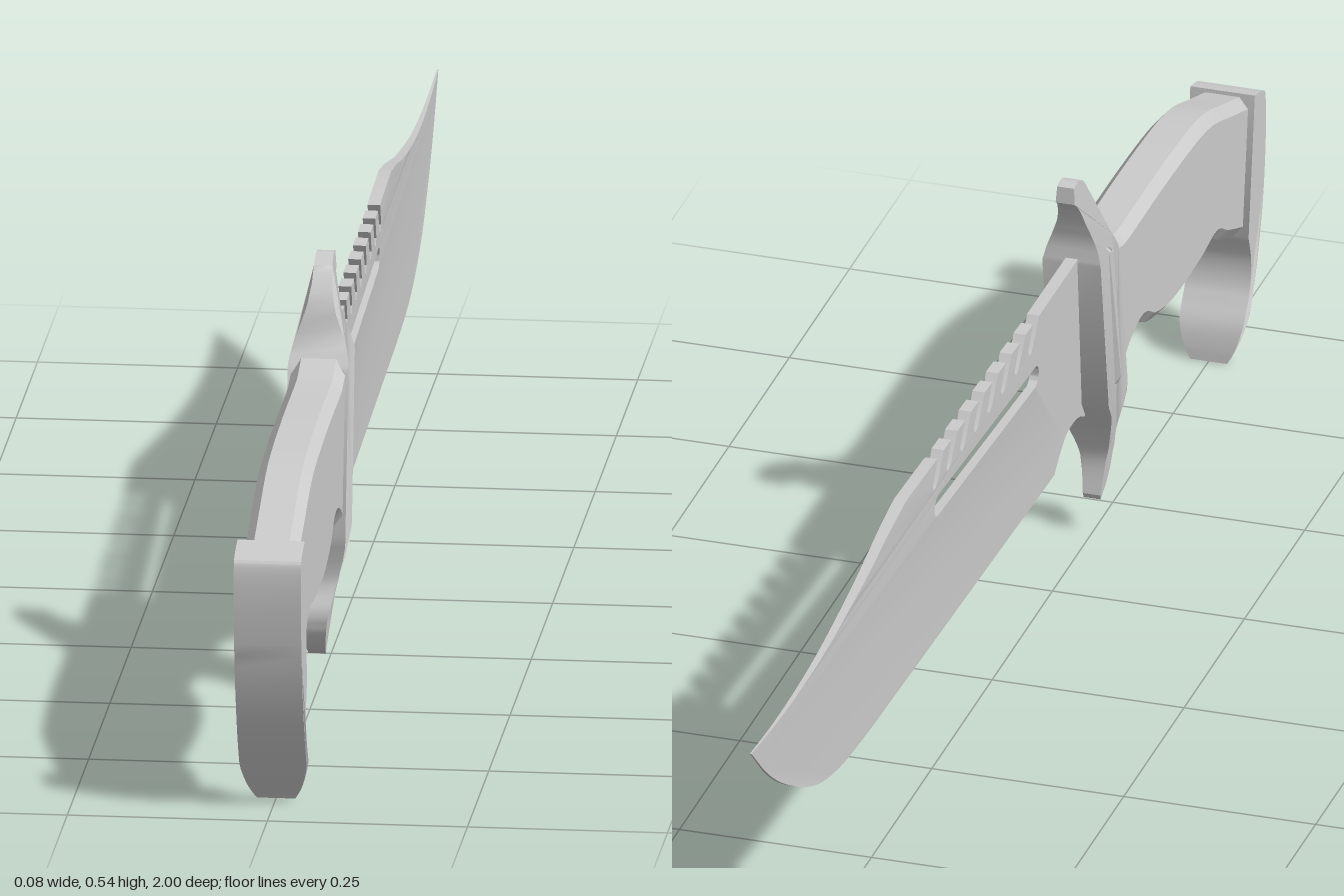
import * as THREE from 'three';
import { toCreasedNormals } from 'three/addons/utils/BufferGeometryUtils.js';

const material = new THREE.MeshStandardMaterial({ color: 0xcccccc });
const v2 = ([z, y]) => new THREE.Vector2(z, y);
const curve = (pts, n = 40) => new THREE.SplineCurve(pts.map(v2)).getPoints(n);

// Piecewise linear lookup over [key, value] pairs with rising keys
function lookup(table, t) {
  if (t <= table[0][0]) return table[0][1];
  for (let i = 1; i < table.length; i++) {
    const [a, va] = table[i - 1], [b, vb] = table[i];
    if (t <= b) return va + (vb - va) * (t - a) / (b - a);
  }
  return table[table.length - 1][1];
}

// Side profile in (z, y), extruded across x; halfWidth(z, y) sets the thickness
function profilePart(name, shape, halfWidth, bevel) {
  const depth = bevel ? 2 * (bevel.half - bevel.thickness) : 2;
  const geo = new THREE.ExtrudeGeometry(shape, {
    depth, steps: 1, curveSegments: 8, bevelEnabled: !!bevel, bevelSegments: 1,
    bevelThickness: bevel?.thickness, bevelSize: bevel?.size, bevelOffset: bevel ? -bevel.size : 0,
  });
  geo.translate(0, 0, -depth / 2).rotateY(-Math.PI / 2);
  if (halfWidth) {
    const p = geo.attributes.position;
    for (let i = 0; i < p.count; i++) p.setX(i, p.getX(i) * halfWidth(p.getZ(i), p.getY(i)));
  }
  const mesh = new THREE.Mesh(toCreasedNormals(geo, 0.5), material);
  mesh.name = name;
  return mesh;
}

function makeBlade() {
  const outline = [v2([0.36, 0.426])];
  // Slanted saw notches along the spine
  for (let i = 0; i < 8; i++) {
    const z = 0.17 - i * 0.0565, y = 0.427 + i * 0.0012;
    [[z, y], [z - 0.024, y - 0.033], [z - 0.031, y - 0.038], [z - 0.039, y - 0.037],
      [z - 0.043, y - 0.03], [z - 0.025, y]].forEach(p => outline.push(v2(p)));
  }
  // Clip point, belly and straight edge
  outline.push(v2([-0.26, 0.437]));
  outline.push(...curve([[-0.38, 0.442], [-0.45, 0.431], [-0.555, 0.41], [-0.69, 0.392], [-0.796, 0.386], [-0.9, 0.387], [-1, 0.394]], 24));
  outline.push(...curve([[-1, 0.394], [-0.93, 0.33], [-0.85, 0.276], [-0.742, 0.222], [-0.635, 0.195], [-0.5, 0.185]], 24).slice(1));
  // Finger notch in front of the guard
  outline.push(...curve([[0.254, 0.161], [0.273, 0.178], [0.302, 0.195], [0.345, 0.195], [0.377, 0.182]], 12), v2([0.395, 0.2]));
  const shape = new THREE.Shape(outline);

  // Long rounded slot under the saw teeth
  const slot = new THREE.Path(), r = 0.0145, tilt = -0.054;
  const arc = (z, y, from) => slot.absarc(z, y, r, from, from + Math.PI, false);
  arc(0.16, 0.345, tilt - Math.PI / 2);
  arc(-0.244, 0.367, tilt + Math.PI / 2);
  shape.holes.push(slot);

  // Thins towards the cutting edge and the tip
  return profilePart('blade', shape, (z, y) => Math.min(
    0.0015 + 0.0065 * Math.max(0, (y - 0.16) / 0.27),
    0.001 + 0.007 * Math.min(1, (z + 1) / 0.6)));
}

function makeGuard() {
  const front = curve([[0.305, 0.538], [0.322, 0.54], [0.345, 0.528], [0.372, 0.49], [0.386, 0.445], [0.406, 0.41]], 18);
  const lower = curve([[0.441, 0.206], [0.432, 0.147], [0.447, 0.11], [0.446, 0.085], [0.433, 0.062], [0.415, 0.048]], 18);
  const lowerBack = curve([[0.412, 0.055], [0.42, 0.104], [0.404, 0.147], [0.38, 0.182], [0.363, 0.206]], 18);
  const upperBack = curve([[0.329, 0.42], [0.333, 0.45], [0.326, 0.485], [0.313, 0.508], [0.302, 0.517]], 18);
  const width = [[0.05, 0.011], [0.1, 0.016], [0.147, 0.027], [0.185, 0.037], [0.2, 0.038], [0.42, 0.038],
    [0.44, 0.033], [0.455, 0.027], [0.48, 0.018], [0.51, 0.0125], [0.54, 0.011]];
  return profilePart('guard', new THREE.Shape([...front, ...lower, ...lowerBack, ...upperBack]), (z, y) => lookup(width, y));
}

function makeHandle() {
  // Arched back and finger-shaped underside, ends buried in guard and pommel
  const top = curve([[0.975, 0.335], [0.955, 0.345], [0.891, 0.367], [0.811, 0.394], [0.73, 0.405], [0.597, 0.41], [0.463, 0.41], [0.425, 0.415], [0.375, 0.432]], 36);
  const under = curve([[0.42, 0.2], [0.452, 0.228], [0.49, 0.244], [0.527, 0.244], [0.57, 0.222], [0.65, 0.206], [0.757, 0.206], [0.822, 0.211], [0.864, 0.19], [0.929, 0.163], [0.948, 0.16]], 44);
  return profilePart('handle', new THREE.Shape([...top, ...under]), null, { half: 0.034, thickness: 0.012, size: 0.014 });
}

function makePommel() {
  const back = curve([[0.955, 0.35], [0.988, 0.341], [1, 0.325], [1, 0.265], [0.988, 0.185], [0.961, 0.104], [0.929, 0.046], [0.897, 0]], 36);
  const hook = curve([[0.897, 0.004], [0.907, 0.046], [0.934, 0.088], [0.94, 0.126], [0.929, 0.163]], 20);
  const width = [[0, 0.024], [0.012, 0.031], [0.025, 0.036], [0.05, 0.042]];
  return profilePart('pommel', new THREE.Shape([...back, ...hook]), (z, y) => lookup(width, y));
}

export function createModel() {
  const group = new THREE.Group();
  group.name = 'knife';
  group.add(makeBlade(), makeGuard(), makeHandle(), makePommel());
  return group;
}
